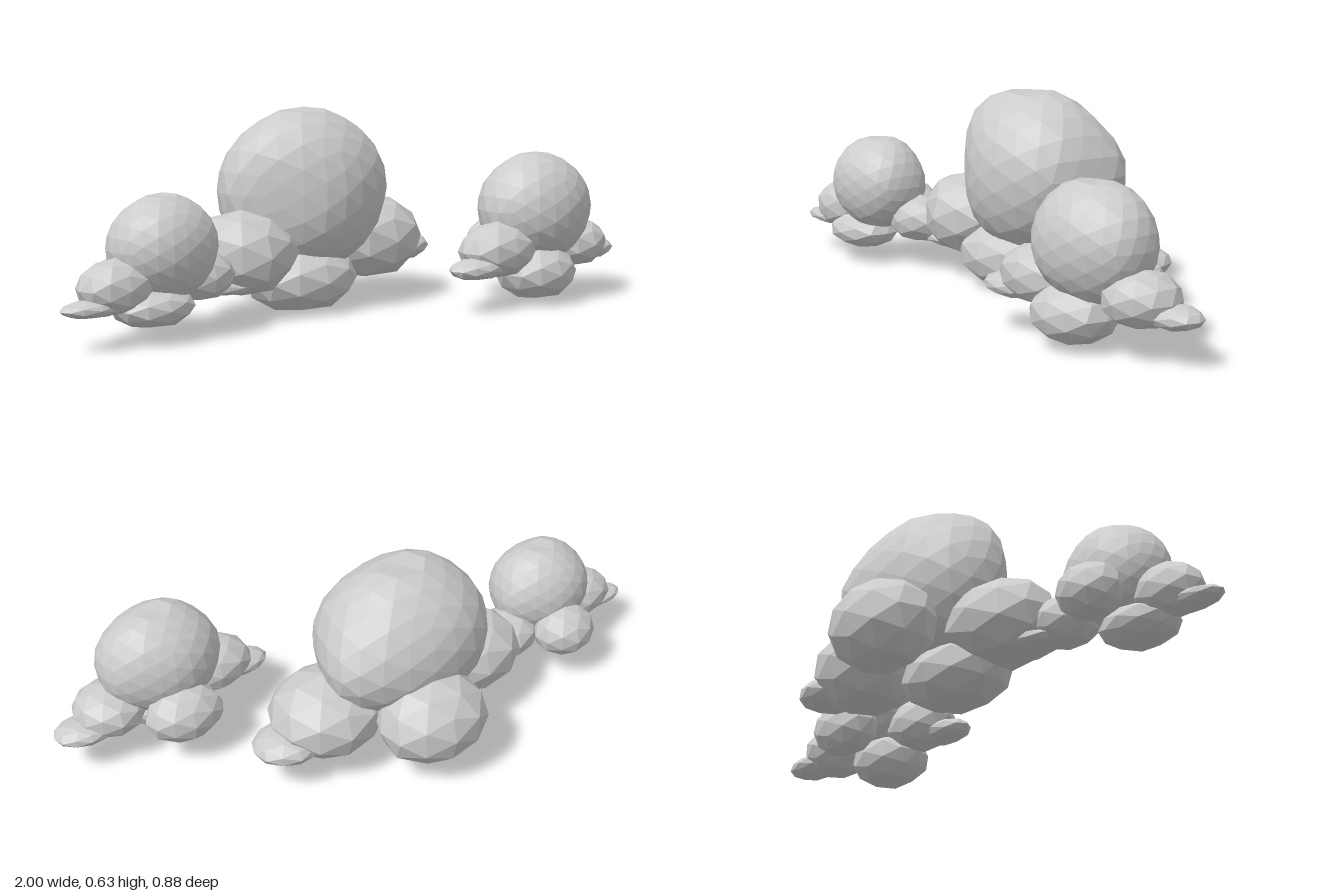
import * as THREE from 'three';

const material = new THREE.MeshStandardMaterial({ color: 0xcccccc, flatShading: true });

// Faceted puff: an icosphere stretched to its radii and gently uneven.
// lean pushes its two ends on the x/-z diagonal toward the back left; dimple dents the top.
function puff(name, center, radii, lean, detail, dimple) {
  const geometry = new THREE.IcosahedronGeometry(1, detail);
  const p = geometry.attributes.position;
  const v = new THREE.Vector3();
  const seed = center[0] * 17 + center[2] * 29;
  for (let i = 0; i < p.count; i++) {
    v.fromBufferAttribute(p, i);
    const wobble = 1 + 0.025 * Math.sin(v.x * 4 + seed) * Math.cos(v.z * 4 - seed + v.y * 2);
    const dip = v.y > 0.99 ? dimple : 0;
    const push = lean * Math.SQRT1_2 * ((v.x - v.z) * Math.SQRT1_2) ** 4;
    v.multiplyScalar(wobble);
    p.setXYZ(i, (v.x + push) * radii[0], (v.y - dip) * radii[1], (v.z - push) * radii[2]);
  }
  geometry.computeVertexNormals();
  const mesh = new THREE.Mesh(geometry, material);
  mesh.name = name;
  mesh.position.set(...center);
  return mesh;
}

// Each cloud: a large dome ringed by smaller puffs and flat tips, as [name, center, radii, lean]
const clouds = {
  middleCloud: [
    ['dome', [-0.043, 0.375, -0.07], [0.285, 0.258, 0.228], 0.2],
    ['frontPuff', [-0.08, 0.102, -0.025], [0.19, 0.107, 0.15]],
    ['backPuff', [-0.03, 0.2, -0.29], [0.182, 0.143, 0.152]],
    ['rightPuff', [-0.3, 0.2, -0.035], [0.185, 0.133, 0.163], 0.18],
    ['leftPuff', [0.235, 0.195, -0.1], [0.188, 0.138, 0.172]],
    ['rightTip', [-0.35, 0.11, -0.02], [0.14, 0.03, 0.08]],
    ['leftTip', [0.385, 0.145, -0.13], [0.113, 0.048, 0.1]],
  ],
  rightCloud: [
    ['dome', [-0.648, 0.267, 0.072], [0.17, 0.157, 0.145]],
    ['frontPuff', [-0.7, 0.102, 0.1], [0.13, 0.06, 0.105]],
    ['backPuff', [-0.66, 0.17, -0.07], [0.105, 0.085, 0.092]],
    ['rightPuff', [-0.815, 0.17, 0.09], [0.12, 0.083, 0.092]],
    ['leftPuff', [-0.49, 0.16, 0.02], [0.115, 0.078, 0.1]],
    ['rightTip', [-0.895, 0.12, 0.1], [0.105, 0.027, 0.055]],
  ],
  leftCloud: [
    ['dome', [0.628, 0.3, 0.275], [0.2, 0.179, 0.16]],
    ['frontPuff', [0.595, 0.1, 0.32], [0.138, 0.09, 0.122]],
    ['backPuff', [0.61, 0.17, 0.13], [0.128, 0.093, 0.092]],
    ['rightPuff', [0.44, 0.182, 0.31], [0.14, 0.09, 0.1]],
    ['leftPuff', [0.805, 0.17, 0.265], [0.118, 0.083, 0.116]],
    ['rightTip', [0.34, 0.135, 0.33], [0.105, 0.036, 0.065]],
    ['leftTip', [0.9, 0.135, 0.24], [0.1, 0.036, 0.072]],
  ],
};

export function createModel() {
  const model = new THREE.Group();
  model.name = 'clouds';
  for (const [cloudName, puffs] of Object.entries(clouds)) {
    const cloud = new THREE.Group();
    cloud.name = cloudName;
    for (const [name, center, radii, lean = 0] of puffs) {
      const isDome = name === 'dome';
      cloud.add(puff(name, center, radii, lean, isDome ? 3 : 1, isDome ? 0.06 : 0));
    }
    model.add(cloud);
  }
  return model;
}
